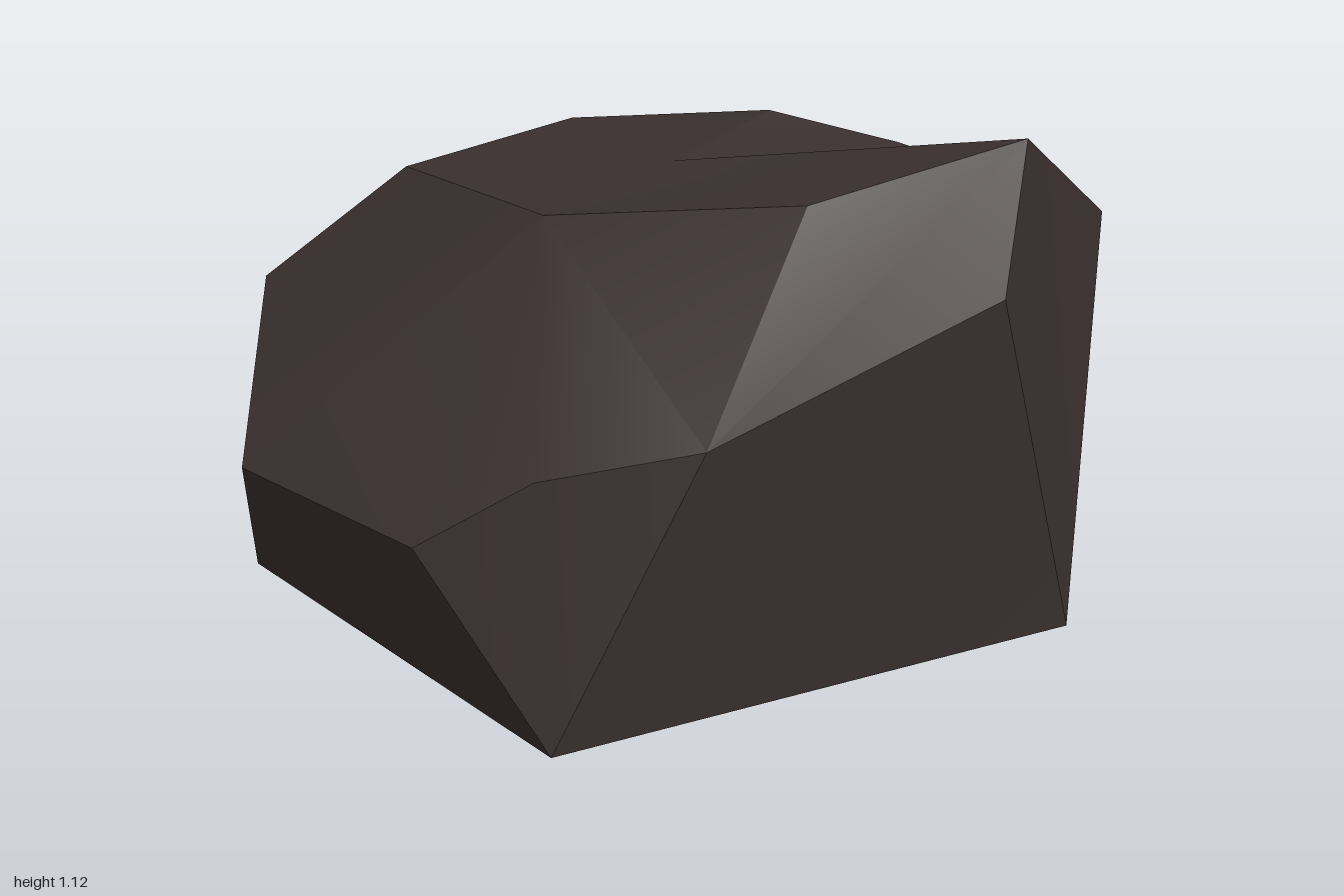
import * as THREE from 'three';
import { toCreasedNormals } from 'three/addons/utils/BufferGeometryUtils.js';

// Corners of the boulder
const corners = {
  peak: [0.70, 1.12, 0.45], brow: [0.60, 0.88, 0.76], ridgeL: [0.22, 1.02, 0.55],
  ridgeK: [-0.32, 0.93, 0.31], ridgeJ: [-0.62, 0.84, -0.31], saddle: [0, 0.89, -0.15],
  shoulder: [0.99, 0.78, -0.02], rimP: [0.60, 0.78, -0.57], rimN: [0.28, 0.86, -0.61],
  rimM: [-0.20, 0.78, -0.84], sideR: [0.92, 0.49, -0.24], sideQ: [0.53, 0.58, -0.76],
  backS: [0.04, 0.50, -1.0], backO: [-0.69, 0.51, -0.77], sideI: [-0.97, 0.54, -0.40],
  sideH: [-1.0, 0.34, 0.27], frontG: [-0.62, 0.39, 0.80], frontZ: [-0.37, 0.57, 0.89],
  frontE: [-0.03, 0.66, 0.97], footF: [-0.35, 0, 1.0], footC: [0.81, 0.03, 0.59],
  footU: [0.85, 0.20, -0.02], footV: [0.18, 0.15, -0.73], footW: [-0.37, 0.03, -1.0],
  footY: [-0.98, 0.03, -0.13], footX: [-0.99, 0.03, 0.13],
};

// Facets, each a fan from its first corner
const facets = [
  'footF footC brow frontE', 'footF frontE frontZ frontG',             // front
  'footC shoulder peak brow', 'footC shoulder sideR footU',            // +x side
  'shoulder sideR sideQ rimP', 'rimN rimP sideQ backS rimM',
  'footV footU sideR sideQ backS footW',                               // back
  'backS footW backO rimM', 'rimM backO sideI ridgeJ',
  'sideI backO footW footY', 'sideI footY footX sideH',                // -x side
  'sideH footX footF frontG',
  'sideI sideH ridgeK ridgeJ', 'ridgeK sideH frontG frontZ frontE ridgeL',
  'frontE brow peak ridgeL',
  'saddle peak ridgeL ridgeK ridgeJ rimM rimN rimP shoulder peak',     // top
  'footC footU footV footW footY footX footF',                         // underside
];

function buildBoulder() {
  const points = [];
  const centre = new THREE.Vector3(0, 0.45, 0);
  const tri = new THREE.Triangle();
  const normal = new THREE.Vector3(), mid = new THREE.Vector3();
  for (const facet of facets) {
    const ring = facet.split(' ').map((n) => new THREE.Vector3(...corners[n]));
    for (let i = 1; i < ring.length - 1; i++) {
      // Turn every triangle to face outward
      tri.set(ring[0], ring[i], ring[i + 1]);
      tri.getNormal(normal);
      tri.getMidpoint(mid).sub(centre);
      if (normal.dot(mid) > 0) points.push(ring[0], ring[i], ring[i + 1]);
      else points.push(ring[0], ring[i + 1], ring[i]);
    }
  }
  return toCreasedNormals(new THREE.BufferGeometry().setFromPoints(points), 0.35);
}

export function createModel() {
  const stone = new THREE.MeshStandardMaterial({ color: 0x3b3130 });
  stone.name = 'dark stone';
  const boulder = new THREE.Mesh(buildBoulder(), stone);
  boulder.name = 'boulder';
  const group = new THREE.Group();
  group.name = 'rock';
  group.add(boulder);
  return group;
}
